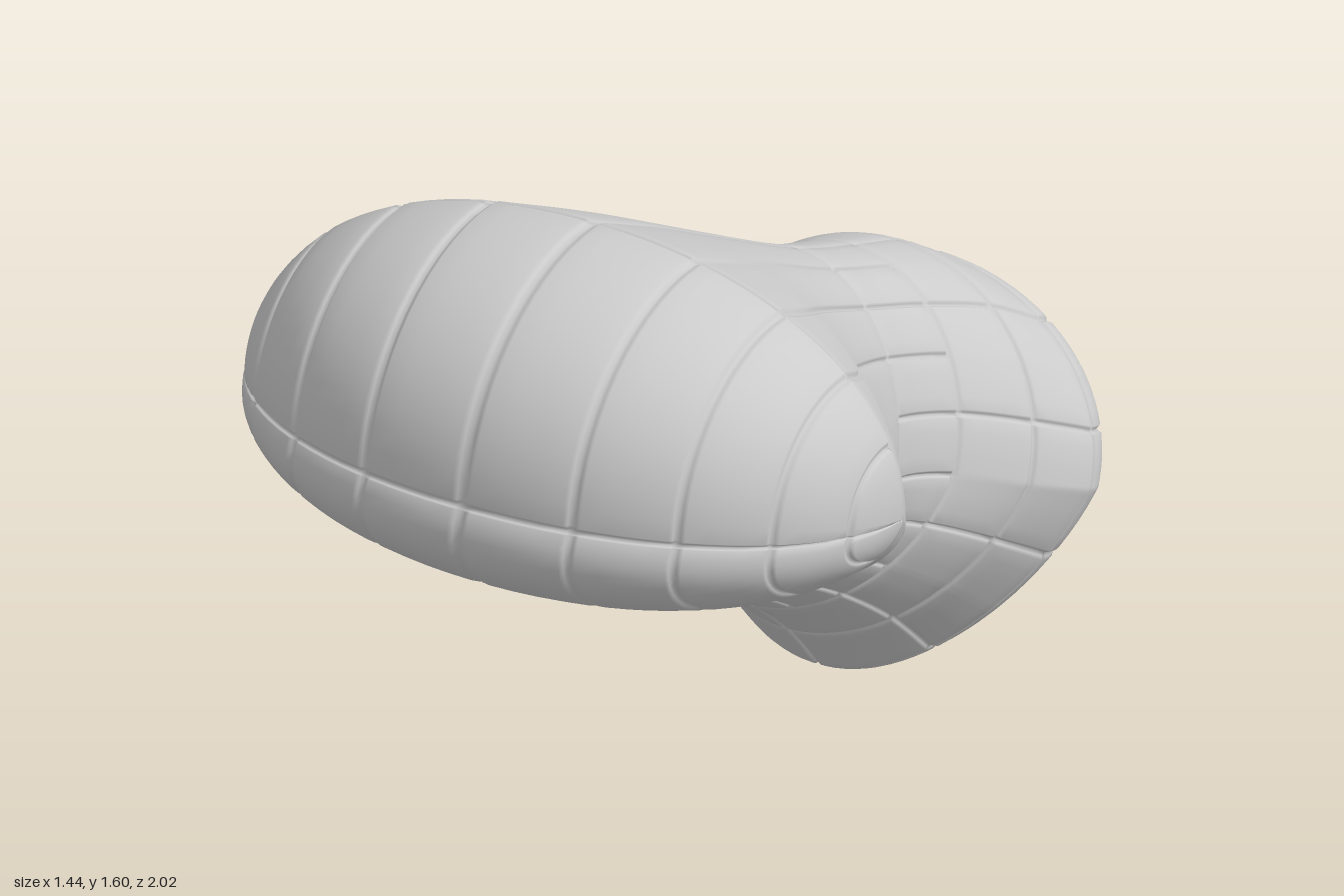
import * as THREE from 'three';
import { mergeVertices } from 'three/addons/utils/BufferGeometryUtils.js';

// Cross-sections, front to back:
// [top z, top y, bottom z, bottom y, widest z, widest y, centre x, half width,
//  bottom taper, roundness (1 = elliptical, less = fuller)]
const SECTIONS = [
  [0.42, 1.595, 0.60, 0.885, 0.45, 1.12, 0.00, 0.72, 0, 0.95],     // head rim
  [0.18, 1.45, 0.33, 0.755, 0.20, 0.91, 0.00, 0.585, 0.05, 0.9],
  [-0.10, 1.27, 0.13, 0.61, -0.01, 0.77, 0.01, 0.405, 0.05, 0.92],
  [-0.38, 1.095, 0.00, 0.495, -0.25, 0.70, 0.03, 0.30, 0, 1],      // neck, front ring
  [-0.60, 0.985, -0.23, 0.325, -0.44, 0.62, 0.04, 0.32, 0, 1],     // neck, back ring
  [-0.77, 0.905, -0.40, 0.17, -0.59, 0.54, 0.05, 0.40, 0.12, 1],
  [-0.89, 0.815, -0.53, 0.015, -0.72, 0.475, 0.06, 0.458, 0.2, 1], // base rim
];
const LAST = SECTIONS.length - 1;
const LINES = 20;          // lengthwise seams round the body
const SEAM_DEPTH = 0.01;
const SEAM_WIDTH = 0.08;   // as a share of one panel
const RING_WIDTH = 0.013;

// Smooth interpolation between the cross-sections
function sectionAt(v) {
  const i = Math.min(Math.floor(v), LAST - 1), t = v - i;
  const row = (k) => SECTIONS[Math.max(0, Math.min(LAST, k))];
  return SECTIONS[0].map((_, k) => {
    const [a, b, c, d] = [row(i - 1)[k], row(i)[k], row(i + 1)[k], row(i + 2)[k]];
    return b + 0.5 * t * (c - a + t * (2 * a - 5 * b + 4 * c - d + t * (3 * (b - c) + d - a)));
  });
}

const power = (value, e) => Math.sign(value) * Math.abs(value) ** e;

function ringPoint([tz, ty, bz, by, mz, my, cx, w, taper, round], u) {
  const s = power(Math.sin(u), round), up = Math.max(0, s), down = Math.max(0, -s);
  return new THREE.Vector3(
    cx * (1 - down) + w * power(Math.cos(u), round) * (1 - taper * down),
    my + (ty - my) * up + (by - my) * down,
    mz + (tz - mz) * up + (bz - mz) * down);
}

// Rounded end: a quarter ellipse from the rim point to the tip
function capPoint(rim, mid, tip, phi) {
  return mid.clone()
    .addScaledVector(rim.sub(mid), Math.cos(phi))
    .addScaledVector(tip.sub(mid), Math.sin(phi));
}

// v < 0 is the front cap, 0..LAST the body, v > LAST the back cap
function surfacePoint(u, v) {
  if (v < 0) {
    const rim = ringPoint(SECTIONS[0], u), s = Math.abs(Math.sin(u));
    const mid = new THREE.Vector3(rim.x, 1.12, 0.45);
    const tip = new THREE.Vector3(rim.x, 1.12 + 0.11 * s, 0.45 + 0.535 * s);
    return capPoint(rim, mid, tip, -v * Math.PI / 2);
  }
  if (v > LAST) {
    const mid = new THREE.Vector3(0.06, 0.475, -0.72);
    const tip = new THREE.Vector3(0.06, 0.37, -0.955);
    return capPoint(ringPoint(SECTIONS[LAST], u), mid, tip, (v - LAST) * Math.PI / 2);
  }
  return ringPoint(sectionAt(v), u);
}

// Rows of panels between the ring seams: start, end, length, steps,
// seam spacing, and whether each flank is one broad panel
const PANELS = [
  { from: -1, to: 0, length: 0.75, steps: 14, every: 1 },
  { from: 0, to: 3, length: 0.9, steps: 18, every: 1, broadFlank: true },
  { from: 3, to: 4, length: 0.25, steps: 5, every: 1 },
  { from: 4, to: 5, length: 0.2, steps: 5, every: 2 },
  { from: 5, to: 6, length: 0.2, steps: 5, every: 2 },
  { from: 6, to: 6.45, length: 0.3, steps: 7, every: 2 },
  { from: 6.45, to: 7, length: 0.3, steps: 7, every: 2 },
];

// Groove strength of the lengthwise seams at a place round the body
function seamStrength(line, { every, broadFlank }) {
  // Shifted by a quarter turn so that a seam runs along the top and bottom
  const nearest = Math.round((line - 5) / every) * every + 5;
  const half = nearest % (LINES / 2);
  if (broadFlank && Math.min(half, LINES / 2 - half) < 2) return 0;
  return Math.max(0, 1 - Math.abs(line - nearest) / SEAM_WIDTH);
}

function bodyGeometry() {
  // Samples round the body, packed closely beside each lengthwise seam
  const around = [], w = SEAM_WIDTH;
  for (let i = 0; i < LINES; i++) {
    for (const t of [0, w / 2, w, 0.3, 0.5, 0.7, 1 - w, 1 - w / 2]) around.push(i + t);
  }
  // Samples along the body, packed closely beside each ring seam
  const along = [];
  for (const panel of PANELS) {
    const e = RING_WIDTH / panel.length;
    const ts = [0, e / 2];
    for (let k = 0; k <= panel.steps; k++) ts.push(e + (1 - 2 * e) * k / panel.steps);
    ts.push(1 - e / 2);
    if (panel === PANELS[PANELS.length - 1]) ts.push(1);
    for (const t of ts) {
      along.push({
        v: panel.from + (panel.to - panel.from) * t,
        ring: Math.max(0, 1 - Math.min(t, 1 - t) / e),
        panel,
      });
    }
  }

  const positions = [], grooves = [], index = [], n = around.length;
  along.forEach(({ v, ring, panel }, i) => {
    around.forEach((line, j) => {
      const p = surfacePoint(line * Math.PI * 2 / LINES, v);
      positions.push(p.x, p.y, p.z);
      grooves.push(Math.max(ring, seamStrength(line, panel)));
      if (i + 1 < along.length) {
        const a = i * n + j, b = i * n + (j + 1) % n;
        index.push(a, a + n, b, b, a + n, b + n);
      }
    });
  });
  let geometry = new THREE.BufferGeometry();
  geometry.setAttribute('position', new THREE.Float32BufferAttribute(positions, 3));
  geometry.setAttribute('groove', new THREE.Float32BufferAttribute(grooves, 1));
  geometry.setIndex(index);
  geometry = mergeVertices(geometry, 1e-5);
  geometry.computeVertexNormals();

  // Press the seams into the skin
  const { position, normal, groove } = geometry.attributes;
  const p = new THREE.Vector3(), d = new THREE.Vector3();
  for (let i = 0; i < position.count; i++) {
    d.fromBufferAttribute(normal, i);
    p.fromBufferAttribute(position, i).addScaledVector(d, -SEAM_DEPTH * groove.getX(i));
    position.setXYZ(i, p.x, p.y, p.z);
  }
  geometry.deleteAttribute('groove');
  geometry.computeVertexNormals();
  return geometry;
}

export function createModel() {
  const group = new THREE.Group();
  group.name = 'paneledKnob';
  const body = new THREE.Mesh(bodyGeometry(), new THREE.MeshStandardMaterial({ color: 0xcccccc }));
  body.name = 'paneledBody';
  group.add(body);
  return group;
}
